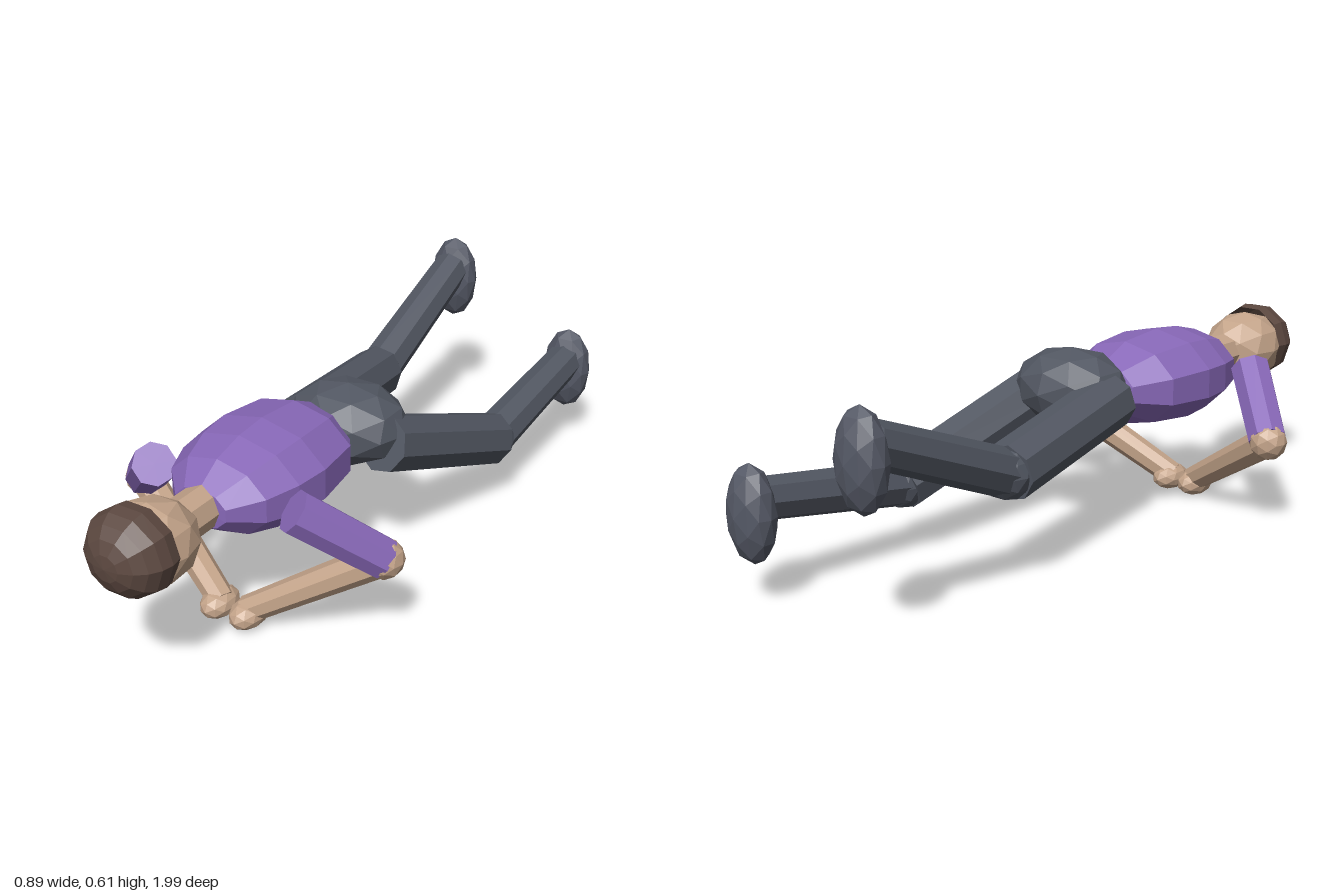
import * as THREE from 'three';

const mat = (name, color) => {
  const m = new THREE.MeshStandardMaterial({ color, flatShading: true });
  m.name = name;
  return m;
};

export function createModel() {
  const model = new THREE.Group();
  model.name = 'lyingFigure';
  const skin = mat('skin', 0xc4a48a);
  const shirt = mat('purple shirt', 0x8868b8);
  const trousers = mat('grey trousers', 0x525762);
  const shoes = mat('dark shoes', 0x555966);
  const hair = mat('brown hair', 0x5c4840);

  const add = (name, geometry, material, p = [0, 0, 0]) => {
    const mesh = new THREE.Mesh(geometry, material);
    mesh.name = name;
    mesh.position.set(...p);
    model.add(mesh);
    return mesh;
  };

  // faceted ellipsoid
  const blob = (name, p, r, material) =>
    add(name, new THREE.IcosahedronGeometry(1, 1).scale(...r), material, p);

  // tapered eight-sided limb from a to b
  const limb = (name, a, b, ra, rb, material) => {
    const from = new THREE.Vector3(...a), to = new THREE.Vector3(...b);
    const dir = to.clone().sub(from);
    const mesh = add(name, new THREE.CylinderGeometry(rb, ra, dir.length(), 8), material);
    mesh.position.copy(from).add(to).multiplyScalar(0.5);
    mesh.quaternion.setFromUnitVectors(new THREE.Vector3(0, 1, 0), dir.normalize());
    return mesh;
  };

  // torso: oval lathe lying along z
  const profile = [[0, 0.08], [0.55, 0.11], [0.9, 0.21], [1, 0.36], [0.94, 0.46], [0.76, 0.555], [0.4, 0.63], [0, 0.635]]
    .map(([r, z]) => new THREE.Vector2(r, z));
  const torso = new THREE.LatheGeometry(profile, 10).rotateX(Math.PI / 2).scale(0.207, 0.138, 1);
  add('torso', torso, shirt, [0, 0.413, 0]);
  blob('hips', [0.065, 0.425, 0.045], [0.178, 0.115, 0.148], trousers);

  // head, face down
  limb('neck', [0, 0.415, 0.58], [0, 0.415, 0.75], 0.06, 0.06, skin);
  blob('head', [0, 0.416, 0.83], [0.119, 0.112, 0.137], skin);
  const cap = new THREE.SphereGeometry(1, 10, 6, 0, Math.PI * 2, 0, Math.PI * 0.6)
    .rotateX(Math.PI / 2).scale(0.124, 0.119, 0.105);
  const capMesh = add('hair', cap, hair, [0, 0.428, 0.89]);
  capMesh.material.side = THREE.DoubleSide;

  for (const s of [1, -1]) {
    const side = s > 0 ? 'left' : 'right';
    blob(side + 'Eye', [s * 0.038, 0.317, 0.85], [0.015, 0.011, 0.015], hair);

    // arms, bent with the hands meeting below the chest
    const shoulder = [s * 0.22, 0.43, 0.54], elbow = [s * 0.39, 0.268, 0.385], wrist = [s * 0.04, 0.05, 0.508];
    limb(side + 'UpperArm', shoulder, elbow, 0.06, 0.057, shirt);
    blob(side + 'Elbow', elbow, [0.056, 0.056, 0.056], skin);
    limb(side + 'Forearm', elbow, wrist, 0.047, 0.038, skin);
    blob(side + 'Hand', [s * 0.048, 0.044, 0.508], [0.048, 0.04, 0.067], skin);
  }

  // legs: hip, knee, ankle and foot centre, the right one raised higher
  const legs = [
    ['left', [0.19, 0.4, 0.07], [0.268, 0.21, -0.44], [0.28, 0.285, -0.92], 0.25],
    ['right', [-0.06, 0.4, 0.07], [-0.14, 0.325, -0.45], [-0.145, 0.515, -0.92], 0.475],
  ];
  for (const [side, hip, knee, ankle, footY] of legs) {
    limb(side + 'Thigh', hip, knee, 0.083, 0.08, trousers);
    blob(side + 'Knee', knee, [0.072, 0.072, 0.072], trousers);
    limb(side + 'Shin', knee, ankle, 0.066, 0.058, trousers);
    blob(side + 'Shoe', [ankle[0], footY, -0.94], [0.078, 0.135, 0.057], shoes);
  }
  return model;
}
